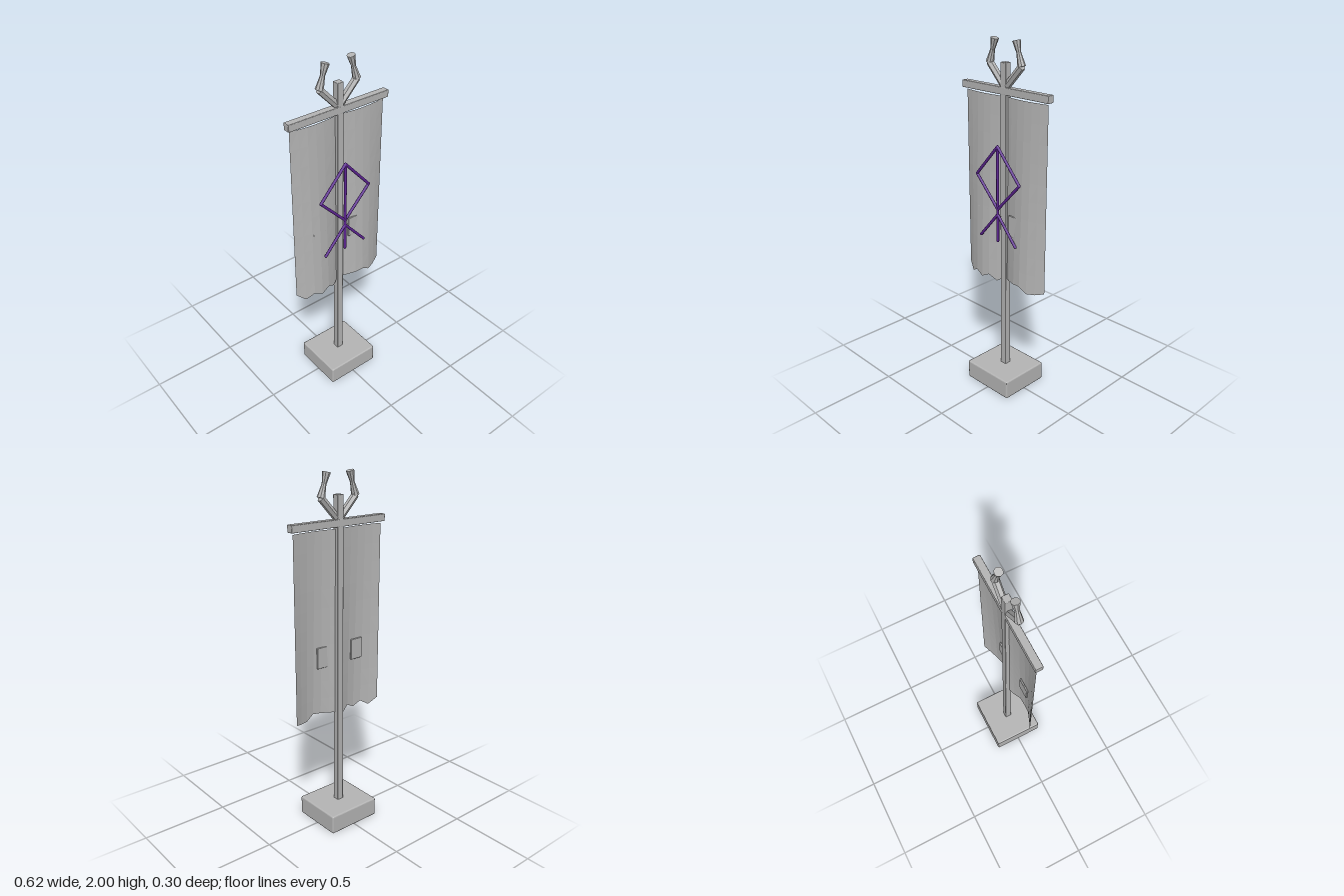
import * as THREE from 'three';
import { RoundedBoxGeometry } from 'three/addons/geometries/RoundedBoxGeometry.js';

export function createModel() {
  const model = new THREE.Group();
  model.name = 'bannerStand';

  const grey = new THREE.MeshStandardMaterial({ color: 0xb4b4b4, flatShading: true, side: THREE.DoubleSide });
  grey.name = 'grey';
  const purple = new THREE.MeshStandardMaterial({ color: 0x5b2390 });
  purple.name = 'purple';

  const add = (name, geometry, material, parent = model) => {
    const mesh = new THREE.Mesh(geometry, material);
    mesh.name = name;
    parent.add(mesh);
    return mesh;
  };

  // Box with softened edges, given by its centre and size
  const box = (name, x, y, z, w, h, d, r) =>
    add(name, new RoundedBoxGeometry(w, h, d, 2, r), grey).position.set(x, y, z);

  // Round or faceted bar between two points
  const bar = (name, a, b, ra, rb, sides, material, parent) => {
    const from = new THREE.Vector3(...a), to = new THREE.Vector3(...b);
    const dir = to.clone().sub(from);
    const mesh = add(name, new THREE.CylinderGeometry(rb, ra, dir.length(), sides), material, parent);
    mesh.position.copy(from).add(to).multiplyScalar(0.5);
    mesh.quaternion.setFromUnitVectors(new THREE.Vector3(0, 1, 0), dir.normalize());
    return mesh;
  };

  // Stand
  box('base', 0, 0.055, 0, 0.326, 0.11, 0.3, 0.008);
  box('pole', 0, 0.99, -0.002, 0.04, 1.78, 0.039, 0.004);
  box('crossbar', 0, 1.735, -0.002, 0.624, 0.04, 0.04, 0.004);

  // Cloth: two forward bulges that deepen downwards, with a ragged hem
  const hem = [0.68, 0.64, 0.67, 0.645, 0.67, 0.64, 0.67, 0.67, 0.675, 0.68, 0.65, 0.655, 0.67];
  const cols = hem.length - 1, rows = 10, top = 1.705, half = 0.295;
  const cloth = new THREE.PlaneGeometry(2 * half, 1, cols, rows);
  const pos = cloth.attributes.position;
  for (let i = 0; i < pos.count; i++) {
    const col = i % (cols + 1), t = Math.floor(i / (cols + 1)) / rows;
    const x = pos.getX(i);
    const bulge = Math.abs(Math.sin(Math.PI * x / half));
    const bottom = t === 1 ? hem[col] : 0.66;
    pos.setXYZ(i, x, top + (bottom - top) * t, -0.005 + bulge * (0.016 + 0.031 * t));
  }
  cloth.computeVertexNormals();
  add('cloth', cloth, grey);

  // Patches set into the cloth
  box('rightPatch', -0.15, 1.01, 0.022, 0.08, 0.12, 0.01, 0.003);
  box('leftPatch', 0.09, 1.01, 0.022, 0.08, 0.12, 0.01, 0.003);

  // Emblem of rods in front of the cloth
  const emblem = new THREE.Group();
  emblem.name = 'emblem';
  model.add(emblem);
  const z = 0.057, r = 0.008;
  const rod = (name, x1, y1, x2, y2) => {
    bar(name, [x1, y1, z], [x2, y2, z], r, r, 10, purple, emblem);
    for (const [x, y] of [[x1, y1], [x2, y2]])
      add(name + 'End', new THREE.SphereGeometry(r, 10, 6), purple, emblem).position.set(x, y, z);
  };
  rod('emblemStem', 0, 1.45, 0, 0.915);
  for (const s of [-1, 1]) {
    rod('emblemUpper', 0, 1.45, s * 0.16, 1.27);
    rod('emblemLower', s * 0.16, 1.27, 0, 1.1);
    rod('emblemLeg', 0, 1.07, s * 0.133, 0.917);
  }

  // Pair of horns on top of the pole
  for (const s of [-1, 1]) {
    const horn = new THREE.Group();
    horn.name = s > 0 ? 'leftHorn' : 'rightHorn';
    model.add(horn);
    const hz = -0.002;
    const elbow = [s * 0.114, 1.868, hz], waist = [s * 0.093, 1.935, hz];
    bar('hornArm', [s * 0.008, 1.757, hz], elbow, 0.02, 0.02, 6, grey, horn);
    bar('hornNeck', elbow, waist, 0.022, 0.012, 8, grey, horn);
    bar('hornTip', waist, [s * 0.077, 1.993, hz], 0.012, 0.022, 8, grey, horn);
  }

  return model;
}
